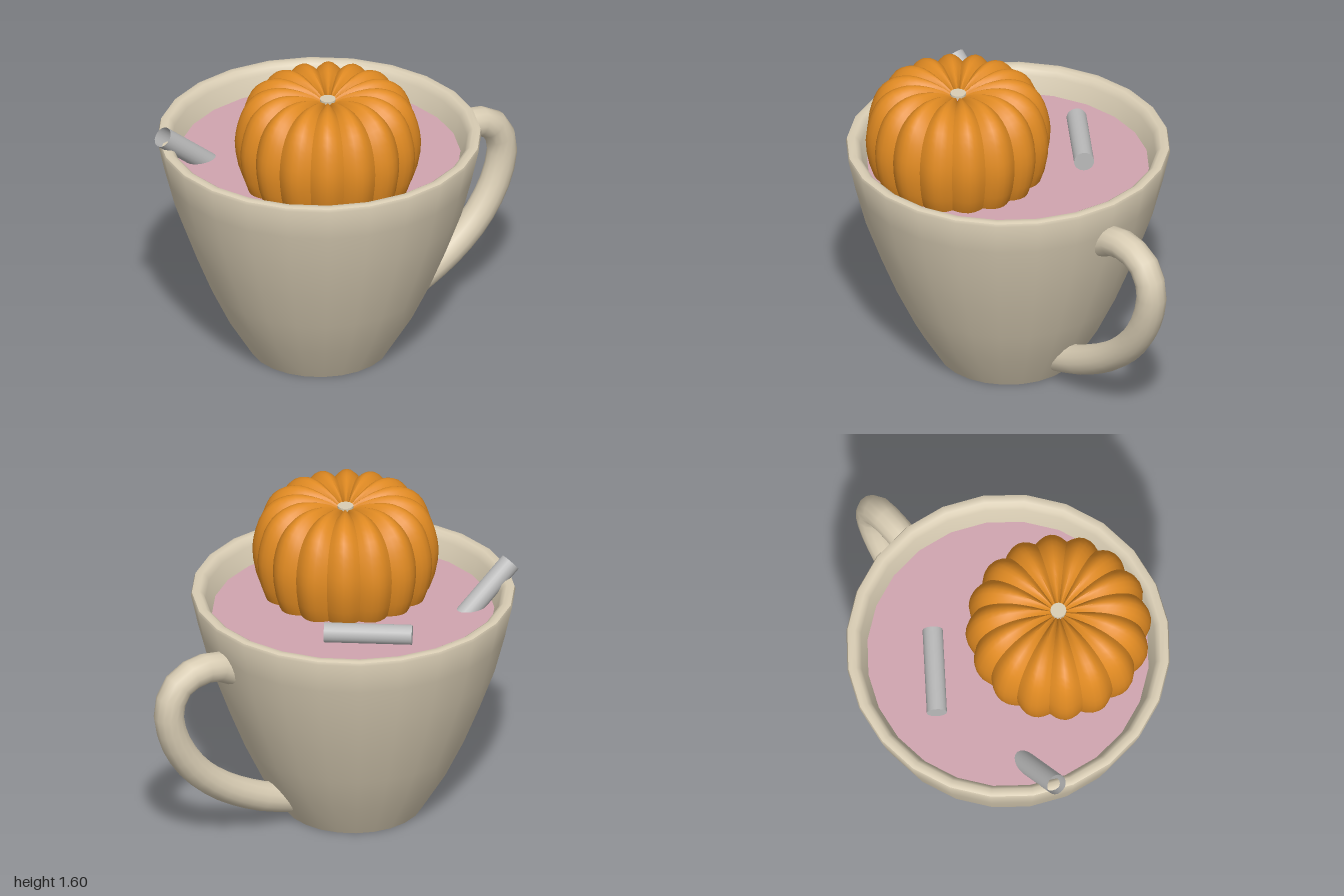
import * as THREE from 'three';
import { toCreasedNormals } from 'three/addons/utils/BufferGeometryUtils.js';

const CUP_X = -0.183;
const v2 = (pts) => pts.map(([x, y]) => new THREE.Vector2(x, y));

function material(name, color, side = THREE.FrontSide) {
  const m = new THREE.MeshStandardMaterial({ color, side });
  m.name = name;
  return m;
}

export function createModel() {
  const model = new THREE.Group();
  model.name = 'pumpkinCup';
  const cream = material('cream', 0xd9cdb4);
  const pink = material('pink', 0xd0a4af);
  const orange = material('orange', 0xe08a22);
  const grey = material('grey', 0xbababa, THREE.DoubleSide);

  function add(name, geometry, mat, x = 0, y = 0, z = 0) {
    const mesh = new THREE.Mesh(geometry, mat);
    mesh.name = name;
    mesh.position.set(x, y, z);
    model.add(mesh);
    return mesh;
  }

  // Cup: outer wall, rounded rim, inner wall and floor
  const cupProfile = v2([
    [0, 0], [0.353, 0], [0.475, 0.2], [0.57, 0.4], [0.65, 0.6], [0.73, 0.82],
    [0.782, 1.02], [0.819, 1.19], [0.814, 1.205], [0.8, 1.21], [0.775, 1.209],
    [0.757, 1.197], [0.745, 1.17], [0.712, 1.085], [0.65, 0.82], [0.57, 0.6],
    [0.49, 0.4], [0.36, 0.15], [0, 0.1],
  ]);
  add('cup', toCreasedNormals(new THREE.LatheGeometry(cupProfile, 24), 0.65), cream, CUP_X);

  // Handle: one bent tube, its ends buried in the wall
  const handlePath = new THREE.CatmullRomCurve3([
    [0.54, 0.95], [0.62, 0.99], [0.73, 1.0], [0.855, 0.955], [0.917, 0.835], [0.89, 0.66],
    [0.78, 0.47], [0.61, 0.315], [0.37, 0.185], [0.2, 0.13],
  ].map(([x, y]) => new THREE.Vector3(x, y, 0)));
  add('handle', new THREE.TubeGeometry(handlePath, 18, 0.077, 14), cream);

  // Drink surface
  const drink = add('drink', new THREE.CircleGeometry(0.712, 24), pink, CUP_X, 1.085, 0);
  drink.rotation.x = -Math.PI / 2;

  // Pumpkin: a lathed body pinched into sixteen lobes
  const lobes = 16;
  const bodyCurve = new THREE.SplineCurve(v2([
    [0.02, 0.97], [0.2, 0.95], [0.34, 0.99], [0.43, 1.1], [0.469, 1.27], [0.455, 1.4],
    [0.415, 1.505], [0.35, 1.57], [0.26, 1.6], [0.17, 1.592], [0.09, 1.565], [0.04, 1.535],
  ]));
  const body = new THREE.LatheGeometry(bodyCurve.getPoints(26), lobes * 6);
  const p = body.attributes.position;
  for (let i = 0; i < p.count; i++) {
    const x = p.getX(i), y = p.getY(i), z = p.getZ(i);
    const bulge = Math.abs(Math.sin(Math.atan2(x, z) * lobes / 2));
    const f = 0.925 + 0.075 * bulge;
    const drop = 0.03 * (1 - bulge) * THREE.MathUtils.smoothstep(y, 1.35, 1.58);
    p.setXYZ(i, x * f, y - drop, z * f);
  }
  add('pumpkin', toCreasedNormals(body, 0.6), orange, -0.29, 0, 0.24);

  // Small pale stem scar in the hollow on top
  add('stemScar', new THREE.CylinderGeometry(0.04, 0.04, 0.02, 16), cream, -0.29, 1.535, 0.24);

  // Sticks: one lying on the drink, one open tube leaning on the rim
  function stick(name, from, to, radius, open) {
    const a = new THREE.Vector3(...from), b = new THREE.Vector3(...to);
    const dir = b.clone().sub(a);
    const geo = new THREE.CylinderGeometry(radius, radius, dir.length(), 20, 1, open);
    const mesh = add(name, geo, grey, ...a.clone().add(b).multiplyScalar(0.5).toArray());
    mesh.quaternion.setFromUnitVectors(new THREE.Vector3(0, 1, 0), dir.normalize());
  }
  stick('lyingStick', [-0.222, 1.15, -0.492], [0.137, 1.15, -0.23], 0.051, false);
  stick('leaningStick', [-0.936, 1.275, -0.293], [-0.59, 0.99, -0.293], 0.053, true);

  return model;
}
